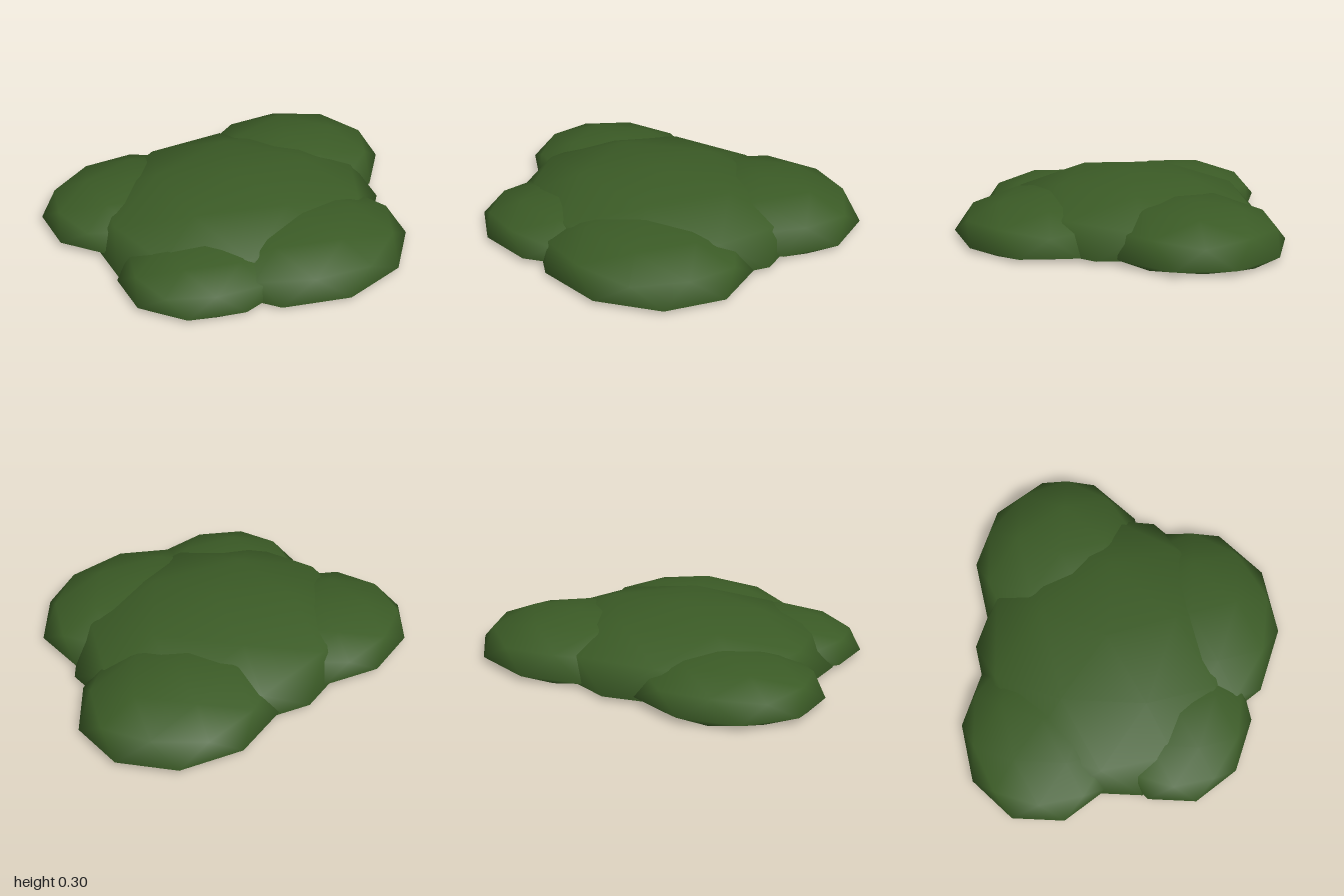
import * as THREE from 'three';
import { mergeVertices } from 'three/addons/utils/BufferGeometryUtils.js';

// A low-poly smooth clump: subdivided icosahedron, squashed, with its underside flattened on the ground
function clumpGeometry([x, y, z], [rx, ry, rz]) {
  let geo = new THREE.IcosahedronGeometry(1, 1);
  geo.deleteAttribute('uv');
  geo.deleteAttribute('normal');
  // Turn one corner straight up and its upper ring towards +x
  geo.rotateX(-Math.atan((1 + Math.sqrt(5)) / 2));
  geo.rotateY(Math.PI / 2);
  geo.scale(rx, ry, rz);
  geo.translate(x, y, z);
  geo = mergeVertices(geo, 1e-4);
  const pos = geo.attributes.position;
  for (let i = 0; i < pos.count; i++) pos.setY(i, Math.max(0, pos.getY(i)));
  geo.computeVertexNormals();
  return geo;
}

export function createModel() {
  const group = new THREE.Group();
  group.name = 'lowBush';
  const leafGreen = new THREE.MeshStandardMaterial({ color: 0x3b5b26 });
  leafGreen.name = 'leafGreen';

  // name, centre, radii
  const clumps = [
    ['centreClump', [-0.035, 0.02, -0.09], [0.846, 0.28, 0.74]],
    ['backLeftClump', [0.46, 0.03, -0.375], [0.568, 0.222, 0.495]],
    ['backRightClump', [-0.5, 0.035, -0.41], [0.526, 0.182, 0.455]],
    ['frontLeftClump', [0.14, 0.02, 0.365], [0.6, 0.208, 0.5]],
    ['frontRightClump', [-0.39, 0.025, 0.3], [0.494, 0.17, 0.42]],
  ];
  for (const [name, centre, radii] of clumps) {
    const mesh = new THREE.Mesh(clumpGeometry(centre, radii), leafGreen);
    mesh.name = name;
    group.add(mesh);
  }
  return group;
}
